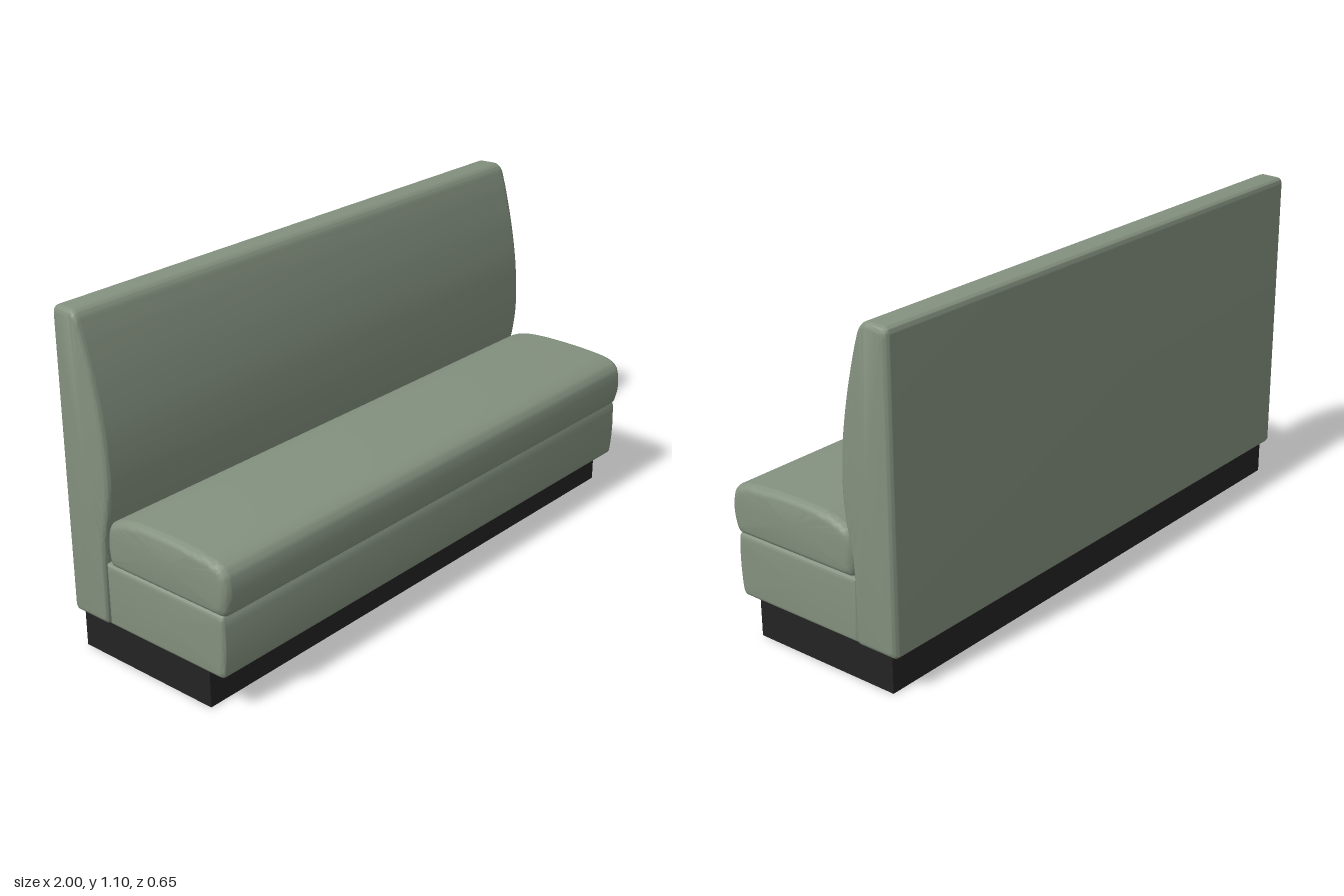
import * as THREE from 'three';
import { toCreasedNormals } from 'three/addons/utils/BufferGeometryUtils.js';

const vinyl = new THREE.MeshStandardMaterial({ color: 0x84917f });
vinyl.name = 'sage green vinyl';
const black = new THREE.MeshStandardMaterial({ color: 0x232323 });
black.name = 'black plinth';

// Sweeps a counter-clockwise (z, y) profile along x, drawing it in at both ends for soft edges
function cushion(name, shape, halfLength, radius) {
  const ring = shape.getPoints(8);
  if (ring[0].distanceTo(ring[ring.length - 1]) < 1e-5) ring.pop();
  const box = new THREE.Box2().setFromPoints(ring);
  const c = box.getCenter(new THREE.Vector2());
  const size = box.getSize(new THREE.Vector2());

  const steps = 6, stations = [];
  for (let k = 0; k <= steps; k++) {
    const t = (k / steps) * Math.PI / 2;
    stations.push([-halfLength + radius * (1 - Math.cos(t)), radius * (1 - Math.sin(t))]);
  }
  stations.push(...stations.map(([x, inset]) => [-x, inset]).reverse());

  const pos = [], index = [], n = ring.length;
  for (const [x, inset] of stations) {
    const sz = 1 - 2 * inset / size.x, sy = 1 - 2 * inset / size.y;
    for (const p of ring) pos.push(x, c.y + (p.y - c.y) * sy, c.x + (p.x - c.x) * sz);
  }
  const last = stations.length - 1;
  const capA = pos.length / 3, capB = capA + 1;
  pos.push(-halfLength, c.y, c.x, halfLength, c.y, c.x);
  for (let j = 0; j < n; j++) {
    const k = (j + 1) % n;
    for (let i = 0; i < last; i++) {
      const a = i * n + j, b = i * n + k;
      index.push(a, a + n, b + n, a, b + n, b);
    }
    index.push(capA, j, k, capB, last * n + k, last * n + j);
  }
  const geo = new THREE.BufferGeometry();
  geo.setAttribute('position', new THREE.Float32BufferAttribute(pos, 3));
  geo.setIndex(index);
  const mesh = new THREE.Mesh(toCreasedNormals(geo, 0.6), vinyl);
  mesh.name = name;
  return mesh;
}

const points = list => list.map(([z, y]) => new THREE.Vector2(z, y));

export function createModel() {
  const group = new THREE.Group();
  group.name = 'banquette';

  // Recessed plinth
  const plinth = new THREE.Mesh(new THREE.BoxGeometry(1.96, 0.125, 0.53), black);
  plinth.position.set(0, 0.0625, -0.03);
  plinth.name = 'plinth';
  group.add(plinth);

  // Upholstered seat base
  const base = new THREE.Shape();
  base.moveTo(-0.175, 0.12);
  base.lineTo(0.285, 0.12);
  base.quadraticCurveTo(0.3, 0.12, 0.302, 0.14);
  base.quadraticCurveTo(0.312, 0.22, 0.305, 0.31);
  base.quadraticCurveTo(0.304, 0.325, 0.29, 0.325);
  base.lineTo(-0.175, 0.325);
  group.add(cushion('seatBase', base, 0.99, 0.015));

  // Domed seat cushion
  const seat = new THREE.Shape();
  seat.moveTo(-0.145, 0.32);
  seat.lineTo(0.295, 0.32);
  seat.quadraticCurveTo(0.312, 0.32, 0.317, 0.345);
  seat.quadraticCurveTo(0.334, 0.4, 0.316, 0.458);
  seat.splineThru(points([[0.295, 0.478], [0.24, 0.492], [0.1, 0.5], [-0.03, 0.498],
    [-0.1, 0.486], [-0.145, 0.465], [-0.158, 0.445]]));
  seat.quadraticCurveTo(-0.172, 0.39, -0.16, 0.335);
  seat.quadraticCurveTo(-0.157, 0.32, -0.145, 0.32);
  group.add(cushion('seatCushion', seat, 0.993, 0.028));

  // Tall curved backrest with a flat rear
  const back = new THREE.Shape();
  back.moveTo(-0.315, 0.12);
  back.lineTo(-0.18, 0.12);
  back.lineTo(-0.173, 0.13);
  back.lineTo(-0.172, 0.32);
  back.splineThru(points([[-0.165, 0.4], [-0.145, 0.5], [-0.136, 0.6], [-0.144, 0.74],
    [-0.168, 0.88], [-0.198, 1.0], [-0.22, 1.07]]));
  back.quadraticCurveTo(-0.23, 1.1, -0.255, 1.1);
  back.lineTo(-0.305, 1.098);
  back.quadraticCurveTo(-0.324, 1.097, -0.324, 1.075);
  back.lineTo(-0.324, 0.13);
  group.add(cushion('backrest', back, 0.998, 0.02));

  return group;
}
